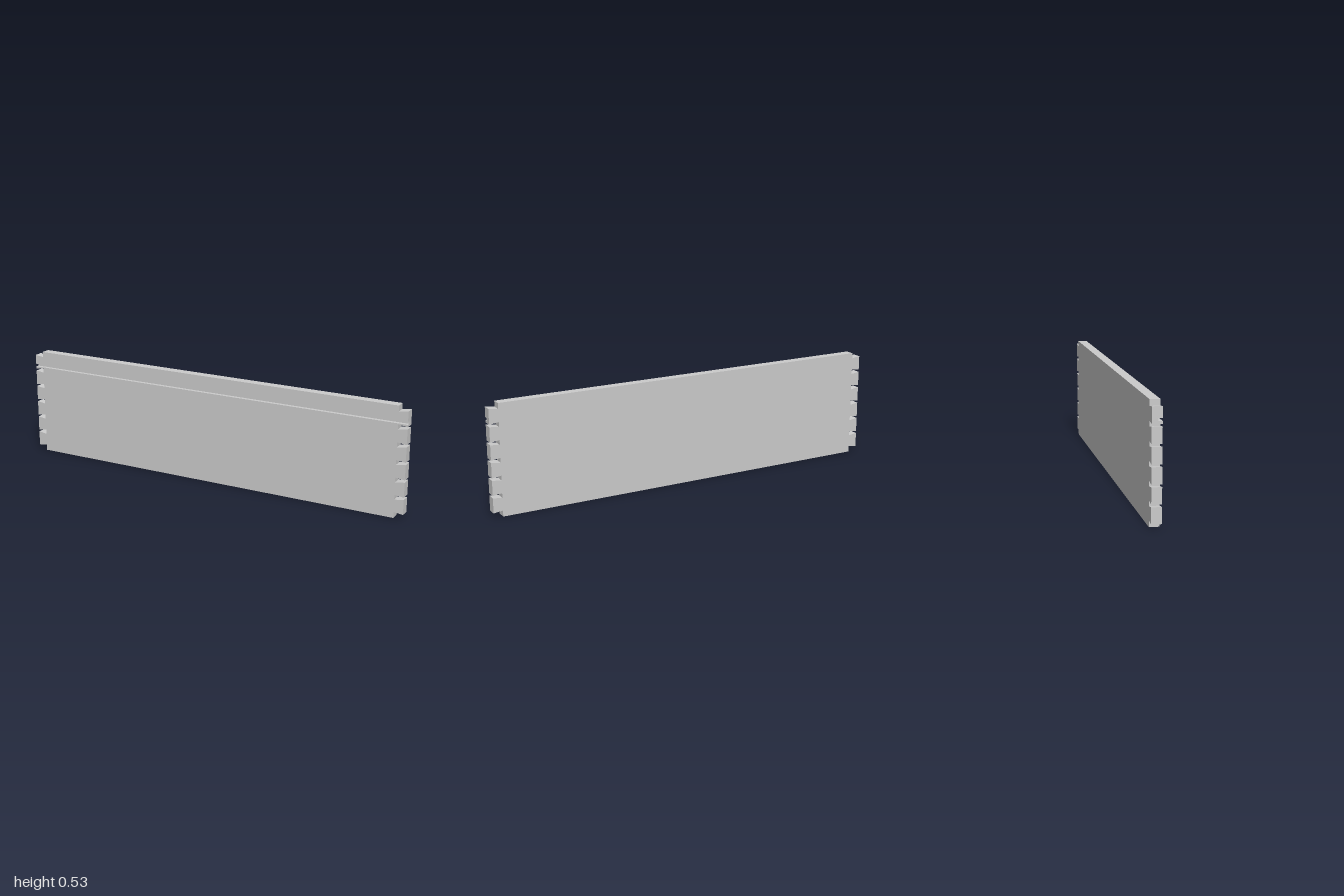
import * as THREE from 'three';

const HEIGHT = 0.527, HALF_T = 0.0223, TIP = 1, ROOT = 0.9554;
const TAILS = 6, FIRST = 0.023, PITCH = 0.0823, TAIL_W = 0.0715, FLARE = 0.006;
const GROOVE_LOW = 0.4456, GROOVE_HIGH = 0.458, GROOVE_FLOOR = 0.005;

// Corners of one dovetail on the +x end, bottom to top; wider at the tip
function tail(i) {
  const a = FIRST + i * PITCH, b = a + TAIL_W;
  return [[ROOT, a + FLARE], [TIP, a], [TIP, b], [ROOT, b - FLARE]];
}

// Mirror the +x edge and extrude the outline through a range of z
function band(name, edge, zBack, zFront, material) {
  const left = edge.map(([x, y]) => new THREE.Vector2(x, y));
  const right = edge.map(([x, y]) => new THREE.Vector2(-x, y)).reverse();
  const geometry = new THREE.ExtrudeGeometry(new THREE.Shape([...left, ...right]), {
    depth: zFront - zBack, bevelEnabled: false,
  });
  geometry.translate(0, 0, zBack);
  const mesh = new THREE.Mesh(geometry, material);
  mesh.name = name;
  return mesh;
}

export function createModel() {
  const group = new THREE.Group();
  group.name = 'dovetailedBoard';
  const material = new THREE.MeshStandardMaterial({ color: 0xcccccc, flatShading: true });

  // Main panel: five whole tails and the start of the sixth, up to the groove
  const lower = [[ROOT, 0]];
  for (let i = 0; i < TAILS - 1; i++) lower.push(...tail(i));
  const last = tail(TAILS - 1);
  lower.push(last[0], last[1], [TIP, GROOVE_LOW]);
  group.add(band('mainPanel', lower, -HALF_T, HALF_T, material));

  // Thin web behind the groove that runs the full length of the front
  const web = [[TIP, GROOVE_LOW], [TIP, GROOVE_HIGH]];
  group.add(band('grooveWeb', web, -HALF_T, GROOVE_FLOOR, material));

  // Top rail: rest of the sixth tail and the upper shoulder
  const upper = [[TIP, GROOVE_HIGH], last[2], last[3], [ROOT, HEIGHT]];
  group.add(band('topRail', upper, -HALF_T, HALF_T, material));

  return group;
}
